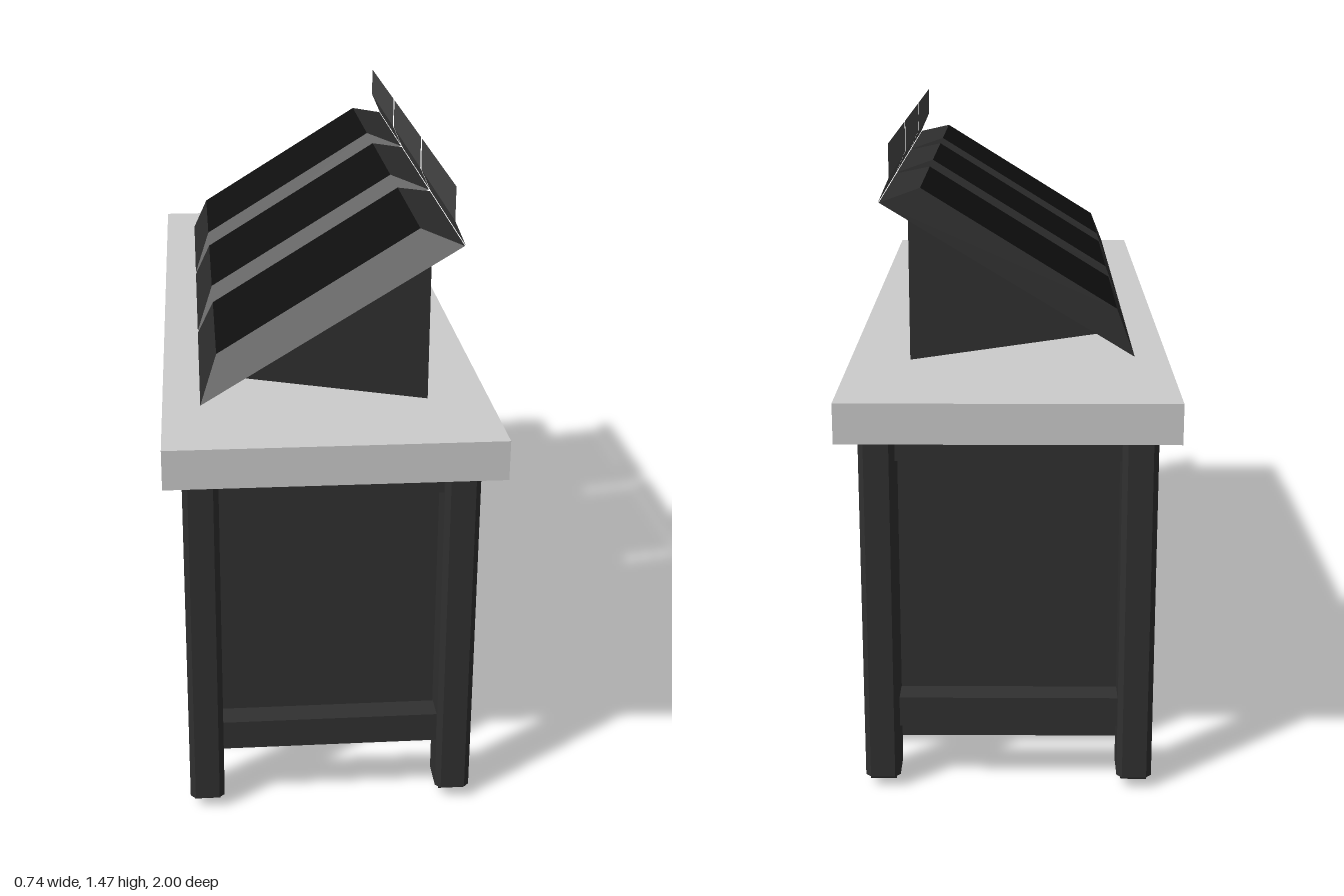
import * as THREE from 'three';

const mat = (color, side = THREE.FrontSide) => new THREE.MeshStandardMaterial({ color, side });

export function createModel() {
  const model = new THREE.Group();
  const grey = mat(0xcccccc), dark = mat(0x303030), panel = mat(0x3a3a3a);
  const steel = mat(0x9aa5a8), rubber = mat(0x222222);
  const shell = mat(0x2c2c2c, THREE.DoubleSide), black = mat(0x0f0f0f, THREE.DoubleSide);
  const visor = mat(0x484848, THREE.DoubleSide);

  const add = (parent, name, geometry, material) => {
    const mesh = new THREE.Mesh(geometry, material);
    mesh.name = name;
    parent.add(mesh);
    return mesh;
  };
  // Box given by its minimum and maximum on each axis
  const box = (parent, name, [x0, x1], [y0, y1], [z0, z1], material) => {
    const mesh = add(parent, name, new THREE.BoxGeometry(x1 - x0, y1 - y0, z1 - z0), material);
    mesh.position.set((x0 + x1) / 2, (y0 + y1) / 2, (z0 + z1) / 2);
    return mesh;
  };
  const group = (name, parent = model) => {
    const g = new THREE.Group();
    g.name = name;
    parent.add(g);
    return g;
  };
  const polygon = points => new THREE.Shape(points.map(p => new THREE.Vector2(...p)));

  // Table top
  box(model, 'tableTop', [-0.37, 0.37], [0.865, 0.955], [-1, 1], grey);

  // Leg frames at both ends: chamfered posts, feet and cross rails
  const a = 0.04, b = 0.05, c = 0.012;
  const legShape = polygon([[-a + c, -b], [a - c, -b], [a, -b + c], [a, b - c],
    [a - c, b], [-a + c, b], [-a, b - c], [-a, -b + c]]);
  const legGeometry = new THREE.ExtrudeGeometry(legShape, { depth: 0.835, bevelEnabled: false });
  legGeometry.rotateX(-Math.PI / 2);
  for (const z of [0.86, -0.85]) {
    const frame = group('legFrame');
    for (const x of [-0.29, 0.29]) {
      add(frame, 'leg', legGeometry, dark).position.set(x, 0.03, z);
      box(frame, 'foot', [x - 0.03, x + 0.03], [0.015, 0.03], [z - 0.03, z + 0.03], rubber);
    }
    box(frame, 'upperRail', [-0.25, 0.25], [0.79, 0.855], [z - 0.03, z + 0.03], dark);
    box(frame, 'lowerRail', [-0.25, 0.25], [0.15, 0.22], [z - 0.03, z + 0.03], dark);
  }

  // Pedestal towers with a raised door on the drawer side
  for (const z of [0.57, -0.595]) {
    const tower = group('tower');
    box(tower, 'towerBody', [-0.27, 0.345], [0.02, 0.865], [z - 0.085, z + 0.085], dark);
    box(tower, 'towerDoor', [-0.276, -0.27], [0.14, 0.63], [z - 0.065, z + 0.065], panel);
  }

  // Drawer cabinets on casters
  const wheelGeometry = new THREE.CylinderGeometry(0.04, 0.04, 0.016, 20).rotateX(Math.PI / 2);
  for (const z0 of [0, -0.505]) {
    const z1 = z0 + 0.485;
    const cabinet = group('drawerCabinet');
    box(cabinet, 'cabinetCore', [-0.205, 0.255], [0.085, 0.84], [z0 + 0.01, z1 - 0.01], dark);
    box(cabinet, 'cabinetCap', [-0.2, 0.25], [0.845, 0.865], [z0 + 0.02, z1 - 0.02], dark);

    // Steel border on the drawer side and on the panelled side
    for (const x of [[-0.22, -0.2], [0.25, 0.27]]) {
      box(cabinet, 'frameBottom', x, [0.08, 0.105], [z0, z1], steel);
      box(cabinet, 'frameTop', x, [0.815, 0.85], [z0, z1], steel);
      for (const z of [z0, z1 - 0.028])
        box(cabinet, 'frameSide', x, [0.105, 0.815], [z, z + 0.028], steel);
    }
    box(cabinet, 'backPanel', [0.25, 0.265], [0.105, 0.815], [z0 + 0.028, z1 - 0.028], panel);

    // Drawers, each with a bar pull
    const rows = 9, step = 0.71 / rows, mid = (z0 + z1) / 2;
    for (let i = 0; i < rows; i++) {
      const y = 0.105 + i * step;
      box(cabinet, 'drawer', [-0.225, -0.2], [y + 0.004, y + step - 0.004], [z0 + 0.032, z1 - 0.032], dark);
      box(cabinet, 'drawerPull', [-0.242, -0.236], [y + 0.036, y + 0.046], [mid - 0.05, mid + 0.05], panel);
      for (const z of [mid - 0.045, mid + 0.045])
        box(cabinet, 'pullPost', [-0.238, -0.224], [y + 0.037, y + 0.045], [z - 0.005, z + 0.005], panel);
    }

    // Casters
    for (const x of [-0.135, 0.19]) for (const z of [z0 + 0.055, z1 - 0.055]) {
      const caster = group('caster', cabinet);
      add(caster, 'wheel', wheelGeometry, rubber).position.set(x, 0.04, z);
      for (const s of [-1, 1])
        box(caster, 'fork', [x - 0.02, x + 0.02], [0.03, 0.08], [z + s * 0.013 - 0.003, z + s * 0.013 + 0.003], steel);
      box(caster, 'casterPlate', [x - 0.03, x + 0.03], [0.076, 0.086], [z - 0.02, z + 0.02], steel);
    }
  }

  // Angled displays: wedge base, tapered bezel, screen and visor
  const quads = list => {
    const geometry = new THREE.BufferGeometry();
    const positions = list.flatMap(([p, q, r, s]) => [p, q, r, p, r, s].flat());
    geometry.setAttribute('position', new THREE.Float32BufferAttribute(positions, 3));
    geometry.computeVertexNormals();
    return geometry;
  };
  const rectangle = (low, high, w) => [[...low, w], [...high, w], [...high, -w], [...low, -w]];
  const wedge = polygon([[-0.22, 1.022], [0.23, 0.957], [0.23, 1.302]]);
  const wedgeGeometry = new THREE.ExtrudeGeometry(wedge, { depth: 0.34, bevelEnabled: false });
  wedgeGeometry.translate(0, 0, -0.17);
  const rim = rectangle([-0.285, 0.985], [0.288, 1.335], 0.25);
  const face = rectangle([-0.247, 1.083], [0.2, 1.36], 0.19);
  const bezelGeometry = quads(rim.map((p, i) => [p, rim[(i + 1) % 4], face[(i + 1) % 4], face[i]]));
  const screenGeometry = quads([face]);
  const line = [[0.29, 1.335], [0.265, 1.39], [0.265, 1.465]];
  const visorGeometry = quads([0, 1].map(i => rectangle(line[i], line[i + 1], 0.25)));

  for (const z of [0.572, 0.055, -0.463]) {
    const display = group('display');
    display.position.z = z;
    add(display, 'displayBase', wedgeGeometry, dark);
    add(display, 'bezel', bezelGeometry, shell);
    add(display, 'screen', screenGeometry, black);
    add(display, 'visor', visorGeometry, visor);
  }

  return model;
}
